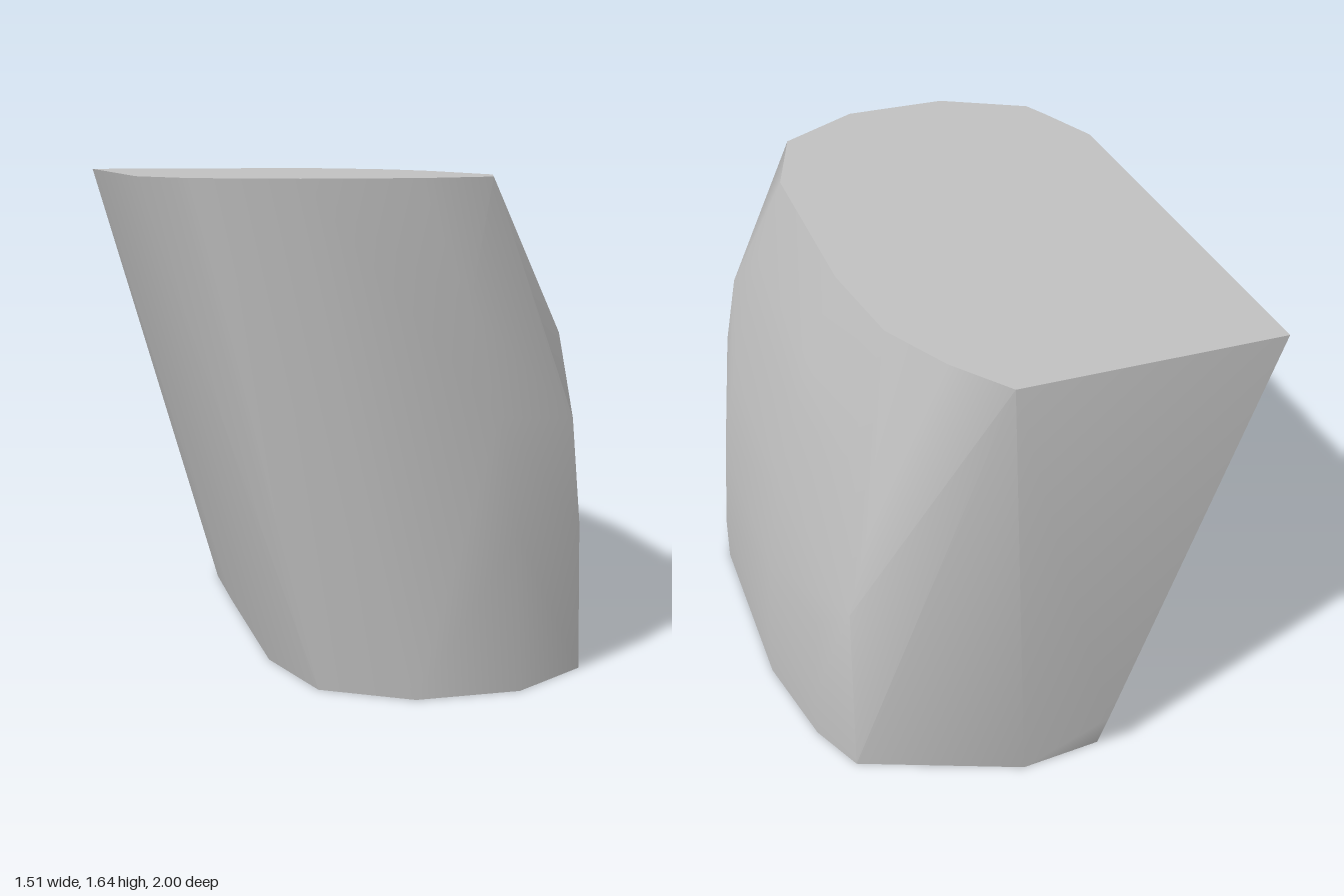
import * as THREE from 'three';
import { ConvexGeometry } from 'three/addons/geometries/ConvexGeometry.js';
import { toCreasedNormals } from 'three/addons/utils/BufferGeometryUtils.js';

const HEIGHT = 1.64;

// Outlines of the flat top and bottom, as [x, z]
const topOutline = [
  [-0.76, -1], [0.13, -1], [0.27, -0.81], [0.39, -0.57], [0.44, -0.21], [0.44, 0.5],
  [0.33, 0.82], [0.04, 0.98], [-0.33, 0.98], [-0.63, 0.82], [-0.67, 0.73], [-0.76, 0.5],
];
const bottomOutline = [
  [-0.25, -0.945], [0.04, -0.97], [0.59, -0.76], [0.68, -0.57], [0.755, -0.21], [0.755, 0.5],
  [0.66, 0.82], [0.39, 0.985], [0.04, 0.985], [-0.24, 0.82], [-0.335, 0.49], [-0.335, -0.22], [-0.33, -0.58],
];

// Bulging profile of the right side, as [x, y]
const bulge = [[0.755, 0.17], [0.73, 0.52], [0.67, 0.88], [0.6, 1.17], [0.55, 1.35]];

// Corner points between top and bottom, as [x, y, z]
const corners = [
  [0.65, 0.5, 0.82], [0.63, 0.85, 0.79], [0.59, 1.13, 0.75],
  [0.37, 0.52, 0.995], [0.3, 0.9, 0.998], [0.2, 1.25, 0.99],
  [0.59, 0.7, -0.76], [0.5, 1.04, -0.73],
  [-0.26, 0.17, -1],
];

export function createModel() {
  const group = new THREE.Group();
  group.name = 'leaningBlock';
  const grey = new THREE.MeshStandardMaterial({ color: 0xc0c0c0 });
  grey.name = 'light grey';

  const points = [];
  const add = (x, y, z) => points.push(new THREE.Vector3(x, y, z));
  topOutline.forEach(([x, z]) => add(x, HEIGHT, z));
  bottomOutline.forEach(([x, z]) => add(x, 0, z));
  // The bulge runs along z and steps in toward the back
  for (const [x, y] of bulge) {
    add(x, y, 0.5);
    add(x, y, -0.21);
    add(x - 0.072, y, -0.57);
  }
  corners.forEach((c) => add(...c));

  // Smooth sides with sharp rims
  const body = new THREE.Mesh(toCreasedNormals(new ConvexGeometry(points), 0.68), grey);
  body.name = 'body';
  group.add(body);
  return group;
}
